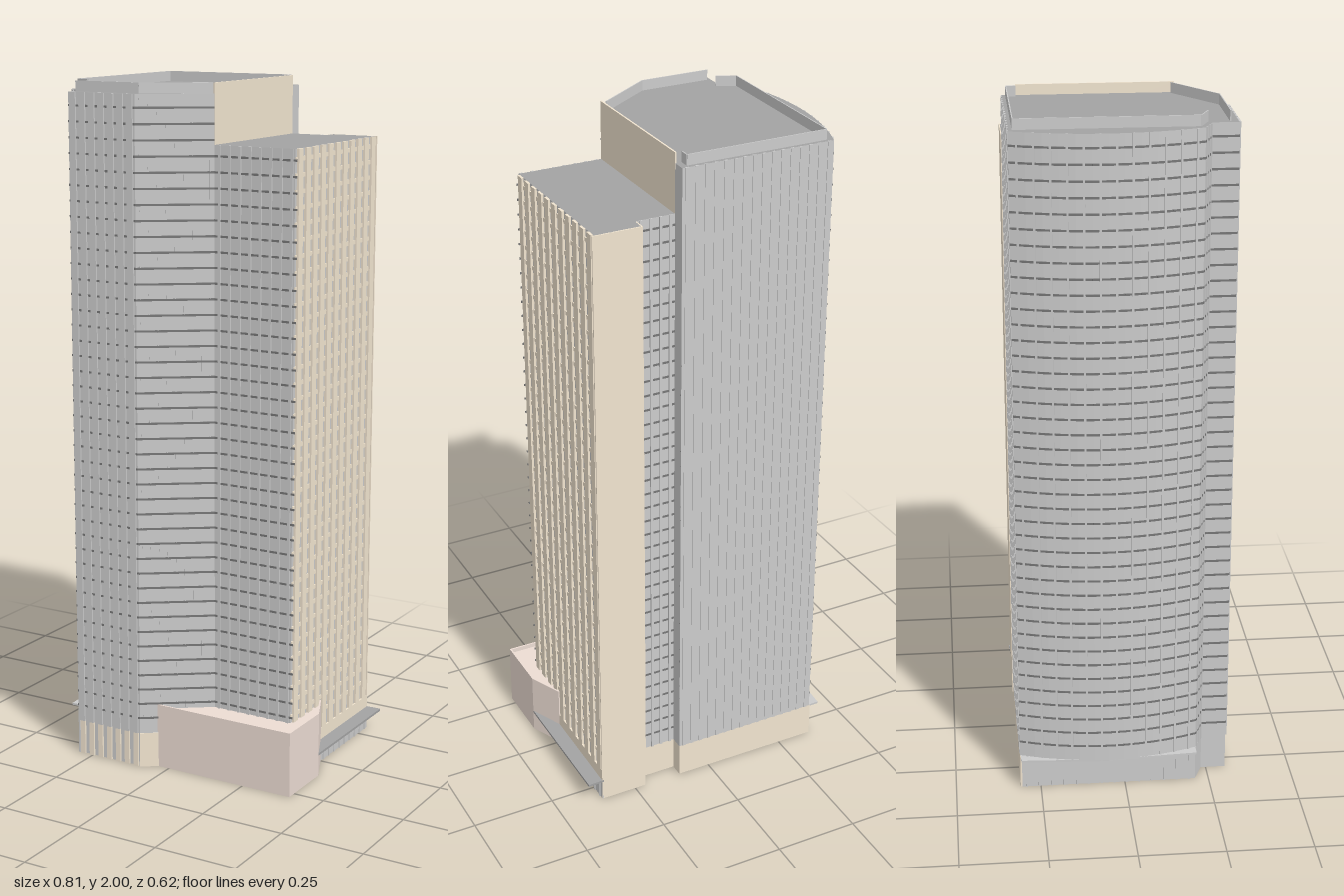
import * as THREE from 'three';
import { mergeGeometries } from 'three/addons/utils/BufferGeometryUtils.js';

const mat = (color) => new THREE.MeshStandardMaterial({ color });
const grey = mat(0xcccccc), roofGrey = mat(0xa3a3a3), dark = mat(0x777777);
const beige = mat(0xf2e5d0), pink = mat(0xecdcd3);

// Vertical prism from a plan outline of [x, z] points
function prism(name, pts, y0, y1, side, cap) {
  const shape = new THREE.Shape(pts.map(([x, z]) => new THREE.Vector2(x, -z)));
  const geo = new THREE.ExtrudeGeometry(shape, { depth: y1 - y0, bevelEnabled: false });
  geo.rotateX(-Math.PI / 2).translate(0, y0, 0);
  const mesh = new THREE.Mesh(geo, [cap, side]);
  mesh.name = name;
  return mesh;
}

// Box on the plan edge a-b between fractions t0 and t1, reaching from
// "inner" to "outer" along the outward normal
function edgeBox(a, b, t0, t1, y0, y1, inner, outer) {
  const dx = b[0] - a[0], dz = b[1] - a[1], len = Math.hypot(dx, dz);
  const t = (t0 + t1) / 2, off = (inner + outer) / 2;
  const geo = new THREE.BoxGeometry(len * (t1 - t0), y1 - y0, outer - inner);
  geo.rotateY(Math.atan2(-dz, dx));
  return geo.translate(a[0] + dx * t + (dz / len) * off, (y0 + y1) / 2, a[1] + dz * t - (dx / len) * off);
}

function merged(name, geos, material) {
  const mesh = new THREE.Mesh(mergeGeometries(geos), material);
  mesh.name = name;
  return mesh;
}

// Evenly spaced vertical fins on an edge
function fins(a, b, n, width, y0, y1, out) {
  const half = width / 2 / Math.hypot(b[0] - a[0], b[1] - a[1]), list = [];
  for (let i = 0; i < n; i++) {
    const t = (i + 0.5) / n;
    list.push(edgeBox(a, b, t - half, t + half, y0, y1, -0.001, out));
  }
  return list;
}

// One thin ledge per floor on an edge
const FLOOR = 0.0445;
function ledges(a, b, y0, y1, out = 0.0015, height = 0.006) {
  const list = [];
  for (let y = y0 + FLOOR; y < y1 - 0.01; y += FLOOR) list.push(edgeBox(a, b, 0, 1, y, y + height, -0.001, out));
  return list;
}

export function createModel() {
  const model = new THREE.Group();
  const Y0 = 0.105, TOP = 1.97, WING = 1.83;

  // Main tower with the bowed west wall
  const bow = [];
  for (let i = 0; i <= 12; i++) {
    const s = i / 6 - 1;
    bow.push([-0.405 + 0.048 * s * s, -0.05 - 0.26 * s]);
  }
  const towerPts = [[0.10, -0.31], [0.10, 0.18], [-0.08, 0.308], [-0.30, 0.308], [-0.30, 0.235], ...bow];
  model.add(prism('tower', towerPts, Y0, TOP, grey, roofGrey));

  // Side wing with a notch at the back
  const wingPts = [[0.09, -0.27], [0.215, -0.27], [0.215, -0.307], [0.353, -0.307], [0.353, 0.18], [0.09, 0.18]];
  model.add(prism('wing', wingPts, Y0, WING, grey, roofGrey));

  // Curtain wall fins and floor ledges
  const NW = [-0.357, -0.308], NE = [0.10, -0.308], A = [0.10, 0.18], B = [-0.08, 0.308], C = [-0.30, 0.308];
  const finGeos = [
    ...fins(NW, NE, 16, 0.01, Y0, TOP, 0.004),
    ...fins(B, C, 7, 0.02, Y0, TOP, 0.005),
    ...fins([0.36, 0.18], A, 8, 0.008, Y0, WING, 0.004),
    ...fins([0.10, -0.27], [0.215, -0.27], 4, 0.008, Y0, WING, 0.004),
    ...fins([-0.30, 0.235], bow[0], 3, 0.006, Y0, TOP, 0.003),
    ...fins(A, B, 9, 0.003, Y0, TOP, 0.001),
  ];
  const ledgeGeos = [
    ...ledges(NW, NE, Y0, TOP), ...ledges(A, B, Y0, TOP), ...ledges(B, C, Y0, TOP),
    ...ledges(C, [-0.30, 0.235], Y0, TOP), ...ledges([-0.30, 0.235], bow[0], Y0, TOP),
    ...ledges([0.36, 0.18], A, Y0, WING), ...ledges([0.10, -0.27], [0.215, -0.27], Y0, WING),
  ];
  for (let i = 0; i < 12; i++) {
    finGeos.push(...fins(bow[i], bow[i + 1], 1, 0.006, Y0, TOP, 0.003));
    ledgeGeos.push(...ledges(bow[i], bow[i + 1], Y0, TOP));
  }
  model.add(merged('facadeFins', finGeos, grey));
  model.add(merged('floorLedges', ledgeGeos, dark));

  // Masonry right side: tall piers with recessed spandrels
  const R0 = [0.353, -0.31], R1 = [0.353, 0.18];
  model.add(merged('sidePiers', fins(R0, R1, 11, 0.025, 0.1, WING, 0.007), beige));
  model.add(merged('sideSpandrels', ledges(R0, R1, Y0, WING, 0.003, 0.012), beige));

  // Blank masonry at the back of the wing and above its roof
  model.add(merged('blankWalls', [
    edgeBox([0.215, -0.31], [0.36, -0.31], 0, 1, 0.1, WING, -0.004, 0),
    edgeBox([0.215, -0.27], [0.215, -0.31], 0, 1, 0.1, WING, -0.003, 0.001),
    edgeBox([0.10, -0.27], A, 0, 1, WING, 2, -0.004, 0.001),
  ], beige));

  // Low roof rail set in from the edge
  const rails = [
    [[-0.285, 0.225], [-0.34, 0.20], [-0.34, -0.297], [0.08, -0.297], [0.08, -0.27]],
    [[0.088, 0.17], [-0.08, 0.285], [-0.29, 0.285]],
  ];
  model.add(merged('roofRail', rails.flatMap((line) =>
    line.slice(1).map((p, i) => edgeBox(line[i], p, 0, 1, TOP, 2, -0.0015, 0.0015))), grey));

  // Street-level walls, open underneath
  const wall = (a, b, y0 = 0, y1 = Y0) => edgeBox(a, b, 0, 1, y0, y1, -0.005, 0);
  const back = [[-0.36, -0.31], [0.10, -0.31], [0.10, -0.27], [0.215, -0.27], [0.215, -0.31], [0.36, -0.31]];
  const masonry = back.slice(1).map((p, i) => wall(back[i], p));
  masonry.push(wall([-0.035, 0.278], [-0.08, 0.31]), wall([0.36, -0.31], [0.36, 0.01], 0.065));
  masonry.push(...fins([-0.08, 0.303], [-0.30, 0.303], 7, 0.016, 0, Y0, 0.006));
  model.add(merged('baseMasonry', masonry, beige));
  model.add(merged('baseGlazing', [
    wall([0.36, -0.31], [0.36, 0.01], 0, 0.065),
    wall([-0.08, 0.303], [-0.30, 0.303]),
    wall([-0.30, 0.308], [-0.30, 0.235]),
    wall([-0.30, 0.235], [-0.36, 0.21]),
    wall([-0.36, 0.21], [-0.36, -0.31]),
    ...fins([0.36, -0.31], [0.36, 0], 9, 0.005, 0, 0.065, 0.003),
    ...fins([-0.36, 0.21], [-0.36, -0.31], 14, 0.005, 0, Y0, 0.003),
  ], grey));

  // Front podium with a cut corner and a low parapet
  const pod = [[-0.04, 0.0], [0.36, 0.0], [0.405, 0.10], [0.405, 0.278], [-0.04, 0.278]];
  model.add(prism('podium', pod, 0, 0.18, pink, pink));
  model.add(merged('podiumParapet', [[1, 2], [2, 3], [3, 4]].map(([i, j]) =>
    edgeBox(pod[i], pod[j], 0, 1, 0.18, 0.193, -0.005, 0)), pink));

  // Entrance canopies on both sides
  model.add(prism('rightCanopy', [[0.355, -0.31], [0.405, -0.312], [0.405, 0.10], [0.36, 0.0]], 0.062, 0.069, roofGrey, roofGrey));
  model.add(prism('leftCanopy', [[-0.35, -0.308], [-0.39, -0.308], [-0.405, -0.05], [-0.39, 0.21], [-0.35, 0.21]], 0.1, 0.106, grey, grey));
  return model;
}
